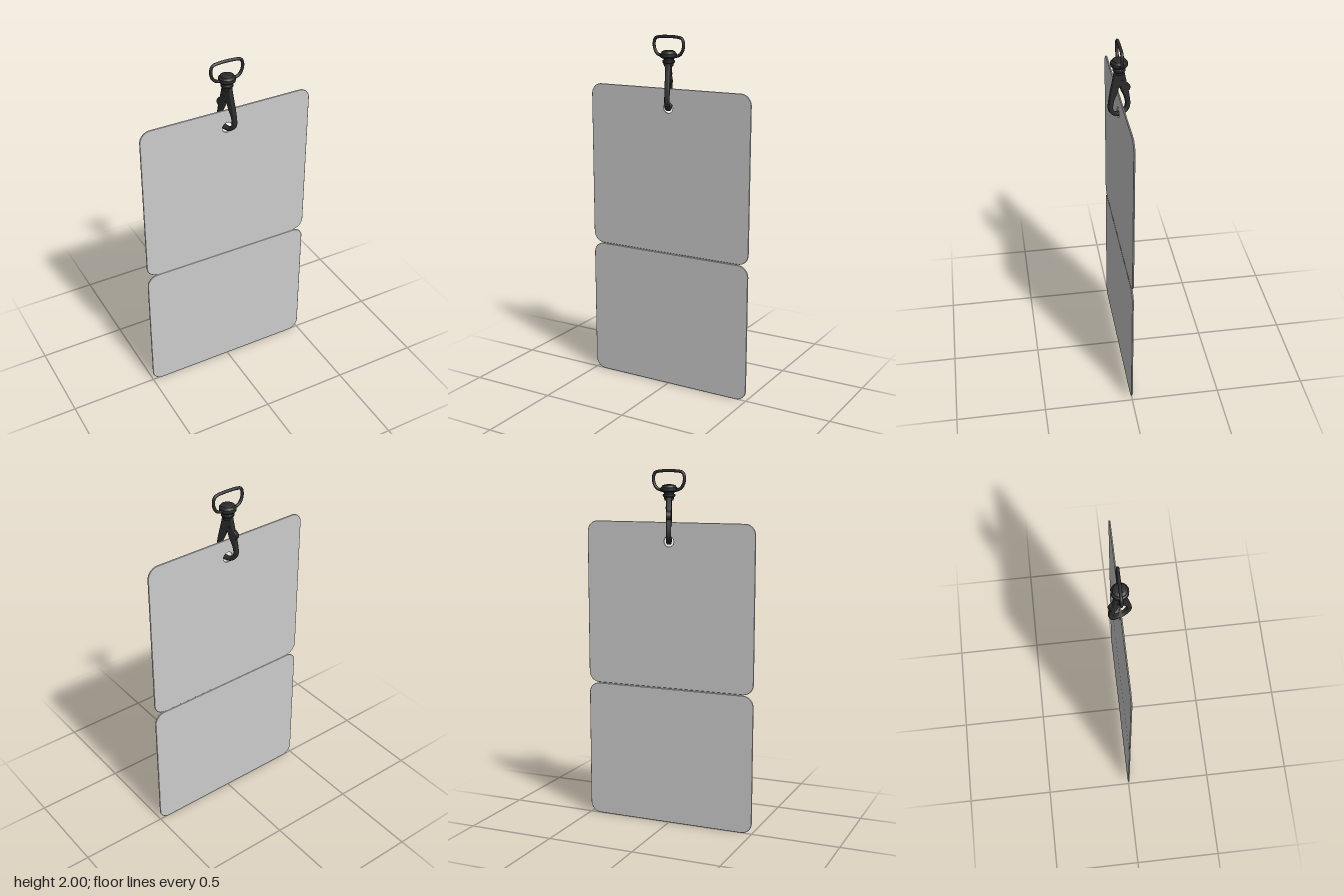
import * as THREE from 'three';

const grey = new THREE.MeshStandardMaterial({ color: 0xcccccc, side: THREE.DoubleSide });
const dark = new THREE.MeshStandardMaterial({ color: 0x2b2b2b });
const V = (x, y, z = 0) => new THREE.Vector3(x, y, z);

function add(parent, name, geometry, material) {
  const mesh = new THREE.Mesh(geometry, material);
  mesh.name = name;
  parent.add(mesh);
  return mesh;
}

// Rounded rectangle spanning x = -w..w and y = y0..y1
function roundedRect(w, y0, y1, r) {
  const s = new THREE.Shape();
  s.absarc(w - r, y0 + r, r, -Math.PI / 2, 0);
  s.absarc(w - r, y1 - r, r, 0, Math.PI / 2);
  s.absarc(r - w, y1 - r, r, Math.PI / 2, Math.PI);
  s.absarc(r - w, y0 + r, r, Math.PI, Math.PI * 1.5);
  s.closePath();
  return s;
}

// Thin panel with a small edge bevel, centred on z = 0.001
function panelGeometry(y0, y1, hole) {
  const b = 0.002;
  const shape = roundedRect(0.5 - b, y0 + b, y1 - b, 0.06);
  if (hole) shape.holes.push(hole);
  const g = new THREE.ExtrudeGeometry(shape, {
    depth: 0.004, bevelEnabled: true, bevelSize: b, bevelThickness: b, bevelSegments: 1, curveSegments: 12,
  });
  return g.translate(0, 0, -0.001);
}

export function createModel() {
  const model = new THREE.Group();
  model.name = 'hangingCard';

  // Two panels joined by a thin fold
  const card = new THREE.Group();
  card.name = 'card';
  model.add(card);
  const eyelet = new THREE.Path().absarc(0, 1.611, 0.03, 0, Math.PI * 2, true);
  add(card, 'upperPanel', panelGeometry(0.789, 1.717, eyelet), grey);
  add(card, 'lowerPanel', panelGeometry(0, 0.785), grey);
  add(card, 'foldStrip', new THREE.BoxGeometry(0.88, 0.024, 0.003).translate(0, 0.787, 0.001), grey);

  const clip = new THREE.Group();
  clip.name = 'swivelClip';
  model.add(clip);

  // D-shaped strap ring
  const half = [[0.058, 1.991], [0.082, 1.983], [0.091, 1.96], [0.087, 1.925], [0.07, 1.9], [0.04, 1.889]];
  const ringPath = new THREE.CatmullRomCurve3([
    ...half.map(([x, y]) => V(x, y)),
    ...half.slice().reverse().map(([x, y]) => V(-x, y)),
  ], true);
  add(clip, 'strapRing', new THREE.TubeGeometry(ringPath, 96, 0.0085, 10, true), dark).position.z = -0.002;

  // Turned swivel: domed cap, collar and neck
  const profile = [
    [0, 1.922], [0.024, 1.92], [0.036, 1.915], [0.039, 1.908], [0.045, 1.903], [0.045, 1.886],
    [0.04, 1.88], [0.028, 1.877], [0.028, 1.87], [0.034, 1.866], [0.034, 1.857], [0.027, 1.85],
    [0.025, 1.835], [0, 1.835],
  ].reverse().map(([r, y]) => new THREE.Vector2(r, y));
  const swivel = new THREE.LatheGeometry(profile, 28).toNonIndexed();
  swivel.computeVertexNormals();
  add(clip, 'swivel', swivel, dark);

  // Hook turned slightly about the vertical; its shape is drawn in the local z-y plane
  const hook = new THREE.Group();
  hook.name = 'hook';
  hook.rotation.y = 0.36;
  clip.add(hook);

  // Drop-shaped outline of the given top, bottom, top half-width and belly half-width
  function drop(shape, top, bottom, wTop, wBelly) {
    const belly = bottom + wBelly * 0.95;
    shape.moveTo(-wTop, top);
    shape.bezierCurveTo(-wTop * 1.2, top - 0.04, -wBelly, belly + 0.05, -wBelly, belly);
    shape.bezierCurveTo(-wBelly, bottom + wBelly * 0.3, -wBelly * 0.5, bottom, 0, bottom);
    shape.bezierCurveTo(wBelly * 0.5, bottom, wBelly, bottom + wBelly * 0.3, wBelly, belly);
    shape.bezierCurveTo(wBelly, belly + 0.05, wTop * 1.2, top - 0.04, wTop, top);
    shape.closePath();
    return shape;
  }
  const outline = drop(new THREE.Shape(), 1.858, 1.602, 0.019, 0.056);
  outline.holes.push(drop(new THREE.Path(), 1.77, 1.609, 0.012, 0.047));
  const body = new THREE.ExtrudeGeometry(outline, {
    depth: 0.014, bevelEnabled: true, bevelSize: 0.007, bevelThickness: 0.007, bevelSegments: 3, curveSegments: 14,
  });
  // Extruded shape x becomes local z
  body.translate(0, 0, -0.007).rotateY(-Math.PI / 2);
  add(hook, 'hookFrame', body, dark);

  // Thumb lever of the gate on the rear side
  const lever = new THREE.Shape();
  lever.moveTo(-0.025, 1.785);
  lever.lineTo(-0.045, 1.775);
  lever.quadraticCurveTo(-0.062, 1.762, -0.06, 1.745);
  lever.quadraticCurveTo(-0.057, 1.732, -0.046, 1.73);
  lever.lineTo(-0.036, 1.74);
  lever.closePath();
  const leverGeometry = new THREE.ExtrudeGeometry(lever, {
    depth: 0.02, bevelEnabled: true, bevelSize: 0.002, bevelThickness: 0.003, bevelSegments: 1, curveSegments: 6,
  });
  leverGeometry.translate(0, 0, -0.01).rotateY(-Math.PI / 2);
  add(hook, 'thumbLever', leverGeometry, dark);

  // Gate pivot pin
  const pin = new THREE.CylinderGeometry(0.008, 0.008, 0.034, 12).rotateZ(Math.PI / 2);
  add(hook, 'pivotPin', pin, dark).position.set(0, 1.795, -0.014);

  return model;
}
